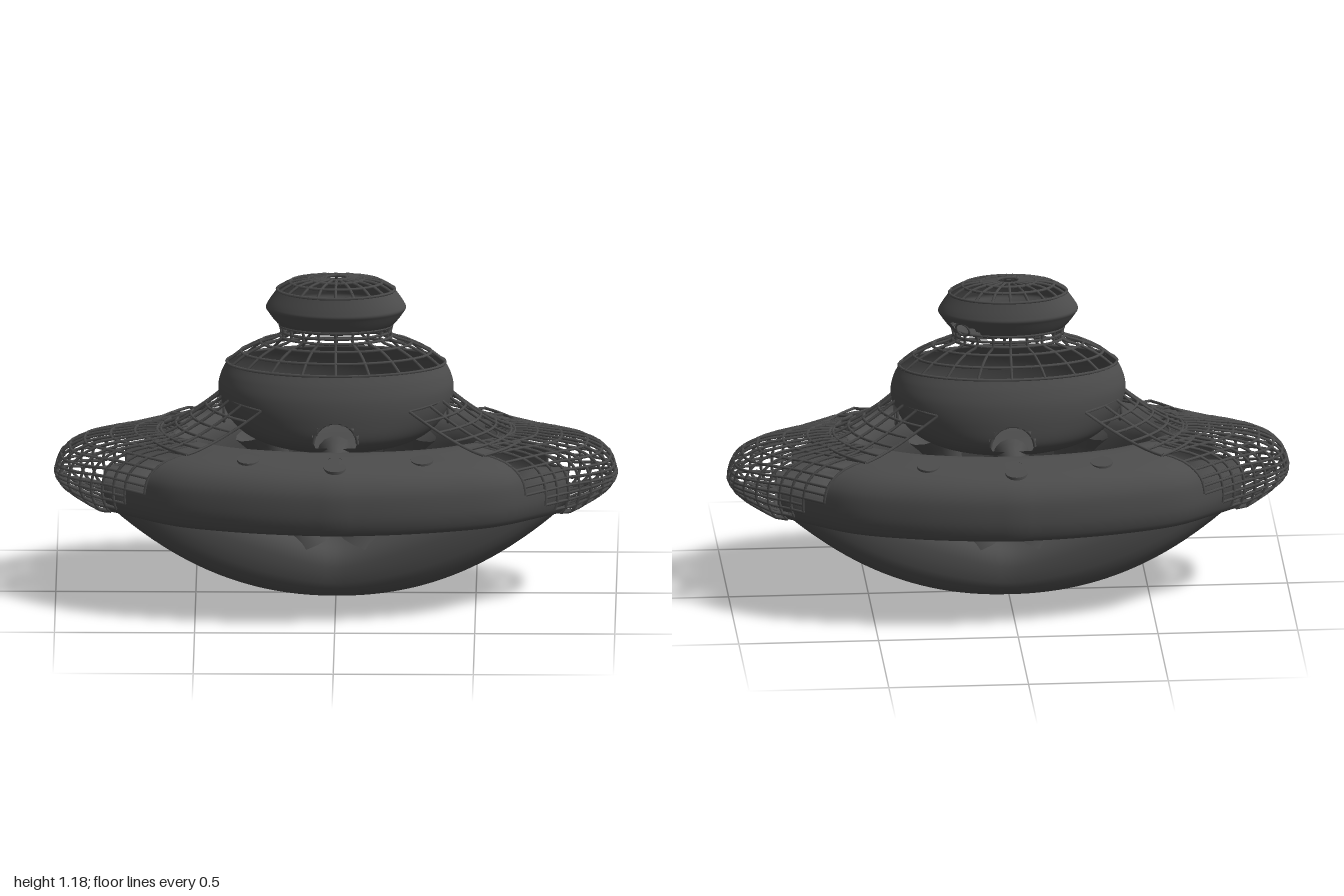
import * as THREE from 'three';
import { mergeGeometries, mergeVertices } from 'three/addons/utils/BufferGeometryUtils.js';

const V = (x, y, z) => new THREE.Vector3(x, y, z);
const mat = new THREE.MeshStandardMaterial({ color: 0x4c4c4c, side: THREE.DoubleSide });
const never = () => false, always = () => true;

function add(parent, name, geometry) {
  const m = new THREE.Mesh(geometry, mat);
  m.name = name;
  parent.add(m);
  return m;
}

// One round lattice bar between two points
function bar(a, b, r) {
  const d = b.clone().sub(a);
  const g = new THREE.CylinderGeometry(r, r, d.length(), 5, 1, true);
  g.applyQuaternion(new THREE.Quaternion().setFromUnitVectors(V(0, 1, 0), d.normalize()));
  return g.translate((a.x + b.x) / 2, (a.y + b.y) / 2, (a.z + b.z) / 2);
}

// Surface f(u, v) in nu x nv cells: open cells become bars, the rest a smooth shell.
// Fine quads inside a hole are left out.
function skin(parent, name, f, nu, nv, k, open = never, hole = never) {
  const pos = [], bars = [], edges = new Set();
  const at = (i, j) => f(i / (nu * k), j / (nv * k));
  const edge = (i, j, di, dj) => {
    const key = [i, j, di, dj].join();
    if (edges.has(key)) return;
    edges.add(key);
    for (let s = 0; s < k; s++) {
      const a = at(i + di * s, j + dj * s), b = at(i + di * (s + 1), j + dj * (s + 1));
      if (a.distanceTo(b) > 1e-3) bars.push(bar(a, b, 0.0055));
    }
  };
  for (let i = 0; i < nu; i++) for (let j = 0; j < nv; j++) {
    const I = i * k, J = j * k;
    if (open(f((i + 0.5) / nu, (j + 0.5) / nv))) {
      edge(I, J, 1, 0); edge(I, J, 0, 1);
      edge(I, J + k, 1, 0); edge(I + k, J, 0, 1);
      continue;
    }
    for (let a = I; a < I + k; a++) for (let b = J; b < J + k; b++) {
      if (hole(at(a + 0.5, b + 0.5))) continue;
      const p = at(a, b), q = at(a + 1, b), s = at(a + 1, b + 1), t = at(a, b + 1);
      for (const c of [p, t, q, q, t, s]) pos.push(c.x, c.y, c.z);
    }
  }
  if (pos.length) {
    let g = new THREE.BufferGeometry();
    g.setAttribute('position', new THREE.Float32BufferAttribute(pos, 3));
    g = mergeVertices(g, 1e-4);
    g.computeVertexNormals();
    add(parent, name, g);
  }
  if (bars.length) add(parent, name + 'Lattice', mergeGeometries(bars));
}

// Elliptical shell from rows of [y, half width x, half depth z]
function ovalShell(rows) {
  const curve = new THREE.CatmullRomCurve3(rows.map(([y, x, z]) => V(x, y, z)), false, 'centripetal');
  return (u, v) => {
    const p = curve.getPoint(v), a = u * Math.PI * 2;
    return V(Math.max(p.x, 0) * Math.cos(a), p.y, Math.max(p.z, 0) * Math.sin(a));
  };
}

// Strut flared at both ends
function strut(parent, name, a, b, rMid, rEnd) {
  const d = b.clone().sub(a).normalize();
  const e1 = Math.abs(d.z) > 0.7 ? V(1, 0, 0) : V(0, 0, 1);
  const e2 = d.clone().cross(e1).normalize();
  skin(parent, name, (u, v) => {
    const r = rMid + (rEnd - rMid) * Math.pow(Math.abs(2 * v - 1), 2.5), t = u * Math.PI * 2;
    return a.clone().lerp(b, v).addScaledVector(e1, r * Math.cos(t)).addScaledVector(e2, r * Math.sin(t));
  }, 14, 10, 1);
}

export function createModel() {
  const g = new THREE.Group();
  g.name = 'station';

  // Ring hull: solid along the sides, lattice over the two noses
  const plan = new THREE.CatmullRomCurve3([[1, 0], [0.985, 0.085], [0.91, 0.15], [0.83, 0.19], [0.75, 0.255],
    [0.6, 0.37], [0.4, 0.44], [0.2, 0.48], [0, 0.5]].map(([x, z]) => V(x, 0, z)));
  const section = new THREE.CatmullRomCurve3([[1, 0.46], [0.97, 0.51], [0.84, 0.562], [0.5, 0.597], [0.2, 0.605],
    [0.02, 0.55], [0, 0.46], [0.05, 0.38], [0.2, 0.35], [0.8, 0.35], [0.95, 0.362], [1, 0.41]]
    .map(([w, y]) => V(w, y, 0)), true);
  const hull = (u, v) => {
    const q = (u * 4) % 4, n = Math.floor(q), t = n % 2 ? 1 - (q - n) : q - n;
    const sx = n === 1 || n === 2 ? -1 : 1, sz = n >= 2 ? -1 : 1;
    const o = plan.getPoint(t), s = section.getPoint(v % 1), a = t * Math.PI / 2;
    const x = THREE.MathUtils.lerp(0.52 * Math.cos(a), o.x, s.x);
    const z = THREE.MathUtils.lerp(0.22 * Math.sin(a), o.z, s.x);
    // the nose tapers upward underneath
    const lift = Math.max(0, x - 0.84) * Math.max(0, 0.47 - s.y) * 3.5;
    return V(sx * x, s.y + lift, sz * z);
  };
  skin(g, 'ringHull', hull, 64, 22, 2, p => Math.abs(p.x) > 0.55 + 1.12 * (0.6 - p.y));

  // Keel hanging under the ring from nose to nose
  skin(g, 'keel', (u, v) => {
    const x = (u * 2 - 1) * 0.83, ax = Math.abs(x), a = v * Math.PI * 2;
    const lo = 0.35 * Math.pow(ax / 0.83, 2.2);
    const hi = Math.min(0.175 + 0.42 * Math.hypot(x, 0.05), 0.46);
    const half = 0.12 + 0.02 * Math.sin(Math.min(ax / 0.6, 1) * Math.PI / 2) - 0.06 * Math.pow(ax / 0.83, 6);
    const c = Math.cos(a), s = Math.sin(a);
    const sq = (w, e) => Math.sign(w) * Math.pow(Math.abs(w), e);
    return V(x, (lo + hi) / 2 + (hi - lo) / 2 * sq(s, 0.8), half * sq(c, 0.7));
  }, 48, 28, 1);

  // Main pod with open end windows and front and back arches
  const pod = ovalShell([[0.565, 0, 0], [0.57, 0.24, 0.17], [0.62, 0.345, 0.228], [0.7, 0.405, 0.236],
    [0.77, 0.42, 0.228], [0.82, 0.41, 0.21], [0.862, 0.39, 0.187]]);
  const endWindow = p => Math.hypot(p.z, p.y - 0.693) < 0.052;
  const arch = p => Math.hypot(p.x, p.y - 0.625) < 0.078 && p.y > 0.6;
  skin(g, 'mainPod', pod, 28, 14, 4, never, p => endWindow(p) || arch(p));
  for (const s of [1, -1]) {
    const rim = add(g, 'endWindowFrame', new THREE.TorusGeometry(0.053, 0.006, 6, 24));
    rim.rotation.y = Math.PI / 2;
    rim.position.set(s * 0.4, 0.693, 0);
    const door = add(g, 'archFrame', new THREE.TorusGeometry(0.079, 0.006, 6, 18, Math.PI));
    door.position.set(0, 0.622, s * 0.225);
  }

  // Lattice roof and neck between the pods
  skin(g, 'podRoof', ovalShell([[0.862, 0.39, 0.187], [0.9, 0.34, 0.162], [0.935, 0.27, 0.13],
    [0.96, 0.2, 0.115], [0.978, 0.195, 0.113], [1.0, 0.2, 0.115]]), 20, 5, 3, always);

  // Upper pod with a lattice dome and one small round window
  const cap = ovalShell([[0.98, 0, 0], [0.983, 0.15, 0.085], [1.0, 0.2, 0.113], [1.05, 0.242, 0.138],
    [1.065, 0.25, 0.144], [1.08, 0.245, 0.141], [1.132, 0.21, 0.125]]);
  skin(g, 'upperPod', cap, 24, 12, 4, never, p => p.x > 0 && Math.hypot(p.z + 0.08, p.y - 1.02) < 0.026);
  skin(g, 'upperDome', ovalShell([[1.132, 0.21, 0.125], [1.158, 0.165, 0.097], [1.169, 0.1, 0.06],
    [1.173, 0.04, 0.03]]), 20, 3, 2, always);
  const port = add(g, 'upperWindowFrame', new THREE.TorusGeometry(0.027, 0.004, 6, 18));
  port.position.set(0.168, 1.02, -0.081);
  port.lookAt(0.518, 0.77, -0.591);

  for (const s of [1, -1]) {
    // Flaring lattice saddle from pod end to nose
    skin(g, 'bridge', (u, v) => {
      const w = v * 2 - 1, z = w * (0.18 + 0.11 * u * u);
      const x0 = 0.41 * Math.sqrt(1 - Math.pow(w * 0.18 / 0.235, 2));
      const x = THREE.MathUtils.lerp(x0, 0.68 - 0.15 * w * w, u);
      return V(s * x, 0.6 + (0.15 - 0.02 * w * w) * Math.pow(1 - u, 1.6), z);
    }, 5, 8, 2, always);

    // Leaning struts from keel to pod, and short links from pod to ring
    strut(g, 'keelStrut', V(s * 0.105, 0.19, 0), V(s * 0.26, 0.61, 0), 0.048, 0.105);
    strut(g, 'ringLink', V(0, 0.57, s * 0.16), V(0, 0.545, s * 0.34), 0.042, 0.065);

    // Round hatches set into the top of the ring
    for (const [x, z, y] of [[-0.31, 0.33, 0.588], [0, 0.4, 0.579], [0.31, 0.33, 0.588]]) {
      const hatch = add(g, 'hatch', new THREE.CylinderGeometry(0.04, 0.042, 0.02, 24));
      hatch.position.set(x, y, s * z);
      hatch.rotation.x = s * 0.15;
    }
  }
  return g;
}
